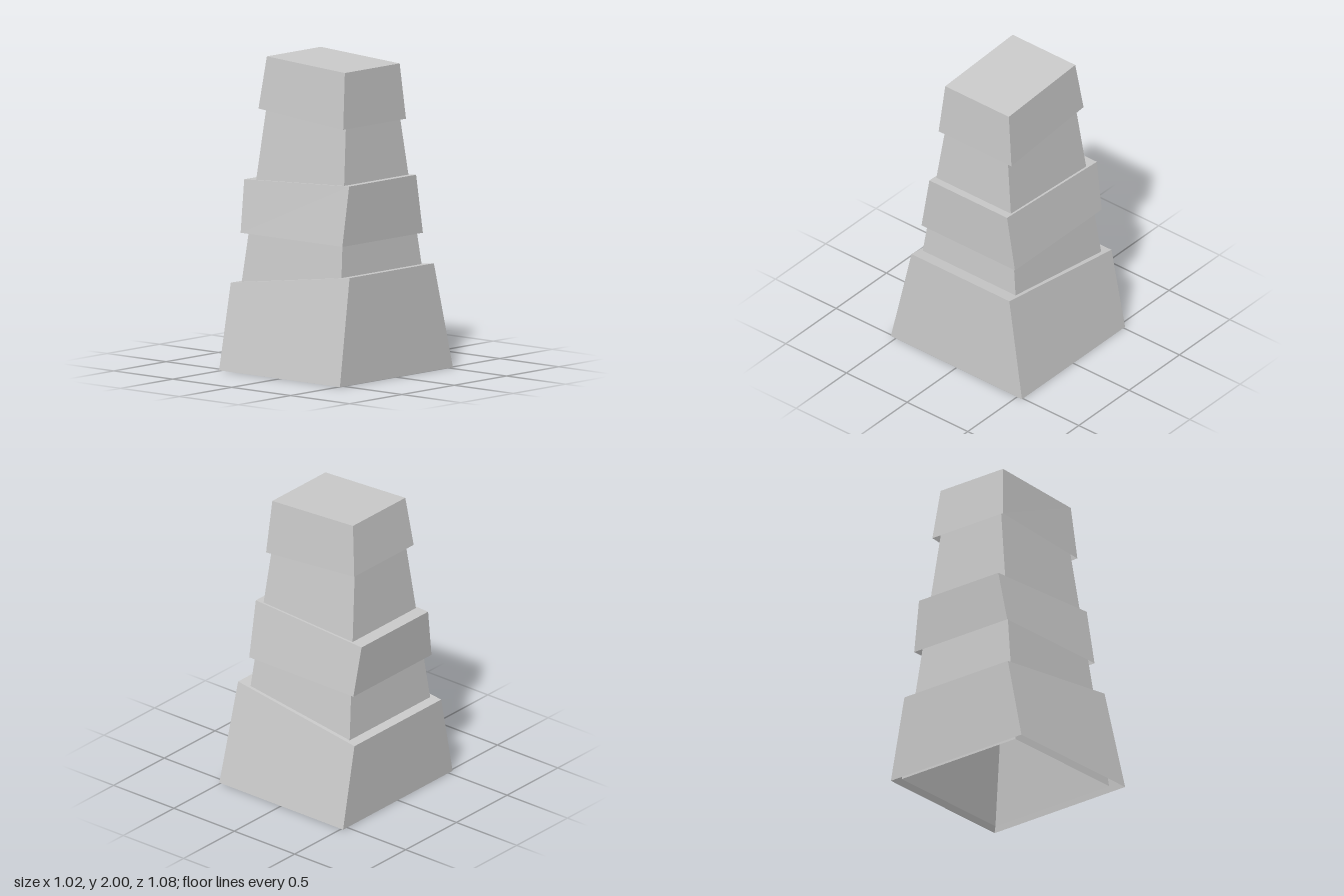
import * as THREE from 'three';

const material = new THREE.MeshStandardMaterial({ color: 0xcccccc, flatShading: true, side: THREE.DoubleSide });

// A ring is a left and a right edge, each [x, y, half depth]
function ringCorners([[xl, yl, zl], [xr, yr, zr]]) {
  return [[xl, yl, zl], [xr, yr, zr], [xr, yr, -zr], [xl, yl, -zl]];
}

// Tapered shell, open below, with an optional slanted cap
function shell(name, bottom, top, capped) {
  const b = ringCorners(bottom), t = ringCorners(top);
  const points = [];
  const quad = (p, q, r, s) => points.push(...p, ...q, ...r, ...p, ...r, ...s);
  for (let i = 0; i < 4; i++) {
    const j = (i + 1) % 4;
    quad(b[i], b[j], t[j], t[i]);
  }
  if (capped) quad(...t);
  const geometry = new THREE.BufferGeometry();
  geometry.setAttribute('position', new THREE.Float32BufferAttribute(points, 3));
  geometry.computeVertexNormals();
  const mesh = new THREE.Mesh(geometry, material);
  mesh.name = name;
  return mesh;
}

export function createModel() {
  const group = new THREE.Group();
  group.name = 'steppedTower';
  group.add(
    // Inner shaft running up through all the blocks
    shell('shaft', [[-0.49, 0, 0.47], [0.435, 0, 0.47]], [[-0.36, 1.8, 0.235], [0.297, 1.8, 0.235]], false),
    // Three outer blocks with slanted tops
    shell('baseBlock', [[-0.515, 0, 0.54], [0.51, 0, 0.54]], [[-0.515, 0.55, 0.428], [0.47, 0.68, 0.403]], true),
    shell('middleBlock', [[-0.47, 0.87, 0.385], [0.393, 0.87, 0.385]], [[-0.49, 1.205, 0.328], [0.393, 1.25, 0.32]], true),
    shell('topBlock', [[-0.4, 1.665, 0.293], [0.325, 1.605, 0.3]], [[-0.36, 2, 0.258], [0.305, 1.963, 0.262]], true),
  );
  return group;
}
